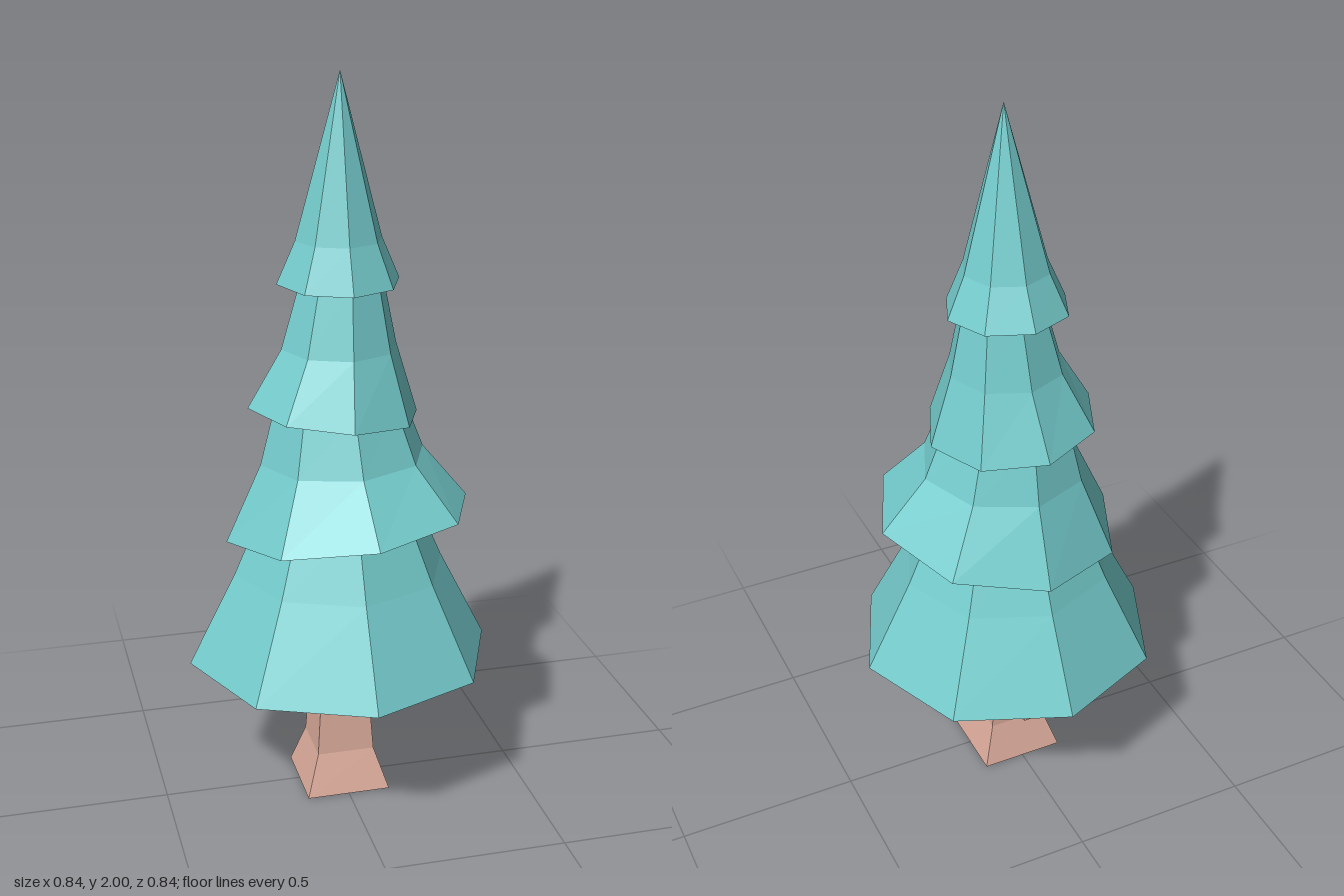
import * as THREE from 'three';

// Closed loft through polygon rings [y, radius, centreX, centreZ, slopeX, slopeZ], listed bottom to top
function loft(rings, sides, turn = 0) {
  const loops = rings.map(([y, r, cx = 0, cz = 0, sx = 0, sz = 0]) => {
    const pts = [];
    for (let i = 0; i < sides; i++) {
      const a = turn + (i / sides) * Math.PI * 2;
      const dx = Math.sin(a) * r, dz = Math.cos(a) * r;
      pts.push([cx + dx, y + dx * sx + dz * sz, cz + dz]);
    }
    return pts;
  });
  const centre = ([y, , cx = 0, cz = 0]) => [cx, y, cz];
  const first = loops[0], last = loops[loops.length - 1];
  const low = centre(rings[0]), high = centre(rings[rings.length - 1]);
  const pos = [];
  const tri = (a, b, c) => pos.push(...a, ...b, ...c);
  for (let i = 0; i < sides; i++) {
    const j = (i + 1) % sides;
    for (let k = 0; k < loops.length - 1; k++) {
      const a = loops[k], b = loops[k + 1];
      tri(a[i], a[j], b[j]);
      if (rings[k + 1][1] > 0) tri(a[i], b[j], b[i]);
    }
    tri(low, first[j], first[i]);
    if (rings[rings.length - 1][1] > 0) tri(high, last[i], last[j]);
  }
  const geo = new THREE.BufferGeometry();
  geo.setAttribute('position', new THREE.Float32BufferAttribute(pos, 3));
  geo.computeVertexNormals();
  return geo;
}

export function createModel() {
  const tree = new THREE.Group();
  tree.name = 'pineTree';

  const foliage = new THREE.MeshStandardMaterial({ color: 0x75cccd, flatShading: true });
  foliage.name = 'tealFoliage';
  const bark = new THREE.MeshStandardMaterial({ color: 0xdcac9c, flatShading: true });
  bark.name = 'pinkBrownBark';

  const add = (name, geo, mat) => {
    const mesh = new THREE.Mesh(geo, mat);
    mesh.name = name;
    tree.add(mesh);
    return mesh;
  };

  // Foliage tiers: eight-sided skirts, the middle ones slightly tilted
  const tiers = {
    bottomTier: [[0.405, 0.422], [0.66, 0.292], [0.86, 0.205]],
    lowerTier: [[0.802, 0.336, 0.02, 0.018, 0.112, 0.1], [0.98, 0.225, 0.008, 0.005, 0.04, 0.03], [1.15, 0.17]],
    upperTier: [[1.11, 0.232, -0.016, 0, -0.09, 0.02], [1.285, 0.156], [1.48, 0.108, 0.008, 0]],
    topTier: [[1.458, 0.165, 0, -0.009, 0, -0.03], [1.57, 0.116, 0, -0.004], [2, 0, 0, 0.01]],
  };
  for (const [name, rings] of Object.entries(tiers)) add(name, loft(rings, 8), foliage);

  // Square trunk with a flared foot
  const q = Math.SQRT2;
  add('trunk', loft([[0, 0.117 * q], [0.115, 0.08 * q], [0.43, 0.059 * q]], 4, Math.PI / 4), bark);

  // Short cut branch at the back
  const stub = add('branchStub', loft([[0, 0.04 * q], [0.13, 0.021 * q]], 4, Math.PI / 4), bark);
  stub.geometry.scale(1.2, 1, 1).rotateX(-Math.PI / 2);
  stub.position.set(-0.005, 0.209, -0.04);

  return tree;
}
